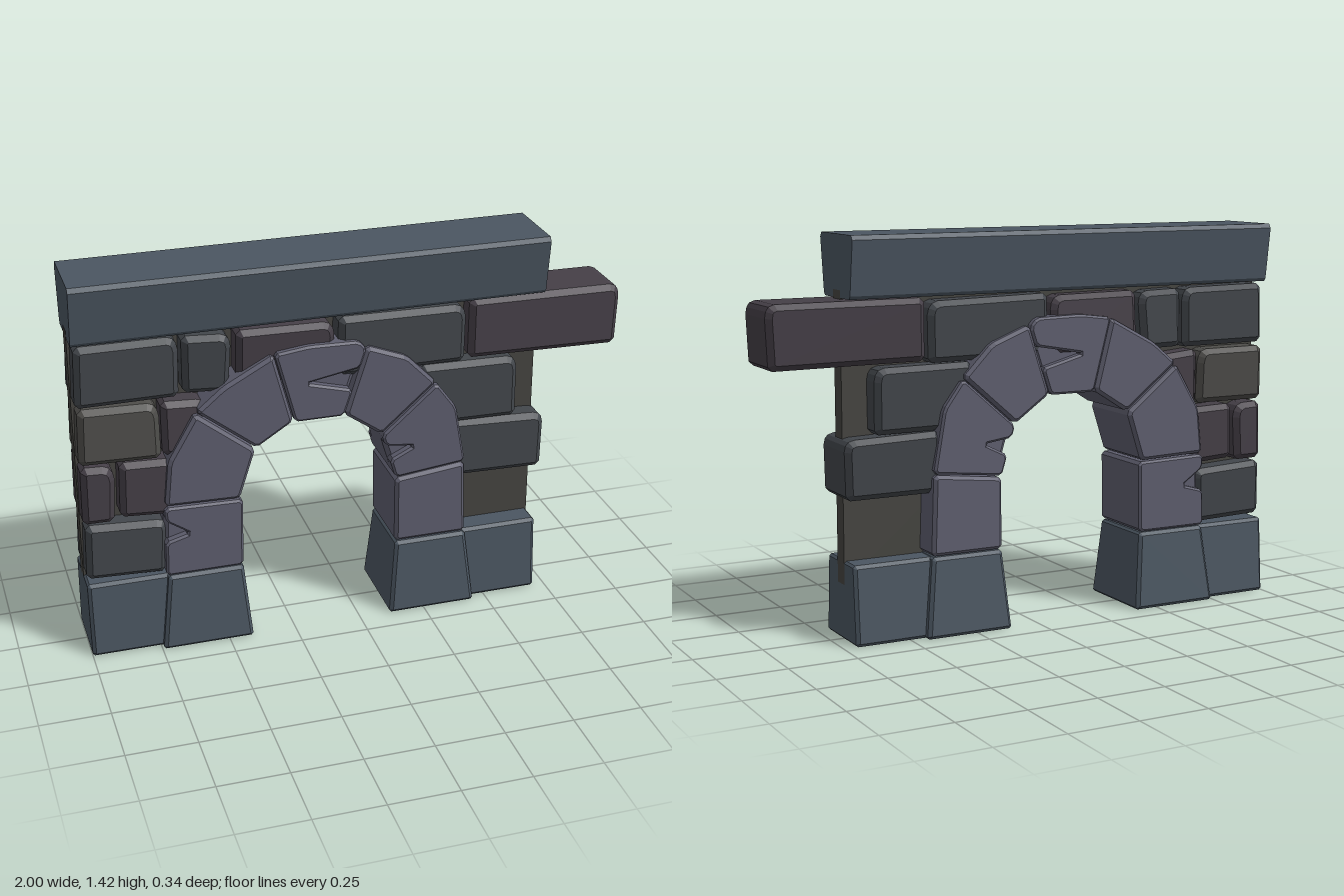
import * as THREE from 'three';

const SLATE = 0x4b5661, DARK = 0x42464b, PLUM = 0x453f47, OLIVE = 0x4e4d4a, ARCH = 0x5e5e6e, CORE = 0x454440;

// Small seeded generator, returns -1..1
let seed = 7;
const rand = () => {
  seed = (seed * 16807) % 2147483647;
  return (seed / 2147483647) * 2 - 1;
};

const material = (color) => new THREE.MeshStandardMaterial({ color, flatShading: true });

// Replaces every corner of an outline by a short cut
function cutCorners(points, cut) {
  const out = [];
  points.forEach((p, i) => {
    const a = new THREE.Vector2(...p);
    for (const j of [i - 1, i + 1]) {
      const b = new THREE.Vector2(...points[(j + points.length) % points.length]);
      out.push(a.clone().lerp(b, Math.min(0.25, cut / a.distanceTo(b))));
    }
  });
  return out;
}

// Chamfered stone: front outline, half depth, optional taper (half depth at the top) and skew
function stoneGeometry(points, half, { bevel = 0.014, cut = 0.012, topHalf = half, skew = 0 } = {}) {
  const geo = new THREE.ExtrudeGeometry(new THREE.Shape(cutCorners(points, cut)), {
    depth: 2 * (half - bevel), bevelEnabled: true, bevelSegments: 1,
    bevelSize: bevel, bevelThickness: bevel, bevelOffset: -bevel,
  });
  geo.translate(0, 0, bevel - half);
  geo.translate(0, 0, -(geo.computeBoundingBox(), geo.boundingBox.min.z + geo.boundingBox.max.z) / 2);
  const { min, max } = geo.boundingBox;
  const pos = geo.attributes.position;
  const sx = rand() * skew, sy = rand() * skew;
  for (let i = 0; i < pos.count; i++) {
    const u = (pos.getX(i) - min.x) / (max.x - min.x);
    const v = (pos.getY(i) - min.y) / (max.y - min.y);
    const z = pos.getZ(i) * THREE.MathUtils.lerp(1, topHalf / half, v);
    pos.setZ(i, z + sx * (u - 0.5) + sy * (v - 0.5));
  }
  geo.computeVertexNormals();
  return geo;
}

export function createModel() {
  const model = new THREE.Group();
  const add = (name, geo, color, parent = model) => {
    const mesh = new THREE.Mesh(geo, material(color));
    mesh.name = name;
    parent.add(mesh);
    return mesh;
  };
  const group = (name) => {
    const g = new THREE.Group();
    g.name = name;
    model.add(g);
    return g;
  };

  // Thin wall core with the arch left open
  const core = new THREE.Shape([
    [-1, 0.2], [-0.57, 0.2], [-0.57, 0.56], [-0.5, 0.8], [-0.28, 0.97], [-0.1, 0.98],
    [0.07, 0.93], [0.22, 0.75], [0.28, 0.56], [0.28, 0.2], [0.705, 0.2], [0.705, 1.23], [-1, 1.23],
  ].map((p) => new THREE.Vector2(...p)));
  const coreGeo = new THREE.ExtrudeGeometry(core, { depth: 0.06, bevelEnabled: false });
  add('wallCore', coreGeo.translate(0, 0, -0.03), CORE);

  // Coping beam, wider at the top
  const side = [[0.108, 1.203], [0.117, 1.215], [0.143, 1.405], [0.132, 1.421]];
  const section = [...side, ...side.map(([z, y]) => [-z, y]).reverse()];
  const beam = new THREE.ExtrudeGeometry(
    new THREE.Shape(section.map((p) => new THREE.Vector2(...p))), { depth: 1.703, bevelEnabled: false });
  add('copingBeam', beam.rotateY(Math.PI / 2).translate(-0.999, 0, 0), SLATE);

  // Tapered foundation blocks
  const base = group('foundation');
  const baseStone = (name, pts, half, topHalf) =>
    add(name, stoneGeometry(pts, half, { topHalf, bevel: 0.012, cut: 0.008 }), SLATE, base);
  baseStone('rightArchFoot', [[-0.745, 0], [-0.41, 0], [-0.435, 0.287], [-0.71, 0.287]], 0.17, 0.143);
  baseStone('leftArchFoot', [[0.115, 0], [0.447, 0], [0.415, 0.287], [0.142, 0.287]], 0.17, 0.143);
  baseStone('rightWallFoot', [[-1, 0], [-0.7, 0], [-0.7, 0.285], [-1, 0.285]], 0.14, 0.118);
  baseStone('leftWallFoot', [[0.4, 0], [0.705, 0], [0.705, 0.285], [0.4, 0.285]], 0.14, 0.118);

  // Bricks: x from, x to, y from, y to, colour
  const bricks = group('bricks');
  [
    [-0.998, -0.632, 0.97, 1.195, DARK], [-0.622, -0.45, 0.97, 1.19, DARK],
    [-0.435, -0.078, 0.97, 1.19, PLUM], [-0.068, 0.412, 0.97, 1.195, DARK],
    [0.42, 1, 0.973, 1.2, PLUM],
    [-0.998, -0.71, 0.75, 0.958, OLIVE], [-0.705, -0.54, 0.75, 0.958, PLUM],
    [0.24, 0.612, 0.73, 0.968, DARK],
    [-0.998, -0.875, 0.52, 0.742, PLUM], [-0.865, -0.66, 0.52, 0.742, PLUM],
    [0.36, 0.725, 0.508, 0.732, DARK],
    [-0.998, -0.7, 0.293, 0.512, DARK],
  ].forEach(([x0, x1, y0, y1, color], i) => {
    const w = () => Math.abs(rand()) * 0.014;
    // one worn corner per brick
    const chip = 0.03 + w();
    const pts = [
      [x0, y0 + w()], [x1 - w(), y0], [x1, y1 - chip], [x1 - chip * 0.6, y1 - w()], [x0 + w(), y1],
    ];
    add(`brick${i + 1}`, stoneGeometry(pts, 0.114, { bevel: 0.02, cut: 0.016, skew: 0.014 }), color, bricks);
  });

  // Arch stones in order around the opening; a chip is [edge index, three points cut into that edge]
  const arch = group('arch');
  [
    { pts: [[-0.435, 0.29], [-0.43, 0.555], [-0.712, 0.562], [-0.718, 0.29]],
      chip: [2, [[-0.713, 0.51], [-0.625, 0.45], [-0.715, 0.425]]] },
    { pts: [[-0.44, 0.56], [-0.38, 0.745], [-0.59, 0.912], [-0.692, 0.74], [-0.71, 0.568]] },
    { pts: [[-0.375, 0.75], [-0.24, 0.835], [-0.308, 1.098], [-0.49, 1.0], [-0.588, 0.918]] },
    { pts: [[-0.235, 0.832], [-0.055, 0.832], [0.028, 1.08], [0, 1.112], [-0.18, 1.116], [-0.305, 1.1]],
      chip: [1, [[-0.022, 0.93], [-0.19, 0.975], [0.005, 1.01]]] },
    { pts: [[-0.052, 0.835], [0.085, 0.738], [0.29, 0.917], [0.18, 1.03], [0.03, 1.088]] },
    { pts: [[0.087, 0.733], [0.14, 0.556], [0.407, 0.585], [0.367, 0.81], [0.292, 0.912]],
      chip: [0, [[0.1, 0.69], [0.21, 0.675], [0.118, 0.63]]] },
    { pts: [[0.14, 0.29], [0.415, 0.29], [0.405, 0.58], [0.14, 0.55]] },
  ].forEach(({ pts, chip }, i) => {
    const opts = { bevel: 0.012, cut: 0.012 };
    let outline = pts;
    if (chip) {
      // unbroken heart of the stone behind the chips on both faces
      add(`archHeart${i + 1}`, stoneGeometry(pts, 0.108, { bevel: 0.016, cut: 0.014 }), ARCH, arch);
      outline = [...pts.slice(0, chip[0] + 1), ...chip[1], ...pts.slice(chip[0] + 1)];
      opts.bevel = 0.008;
    }
    add(`archStone${i + 1}`, stoneGeometry(outline, 0.141, opts), ARCH, arch);
  });

  return model;
}
